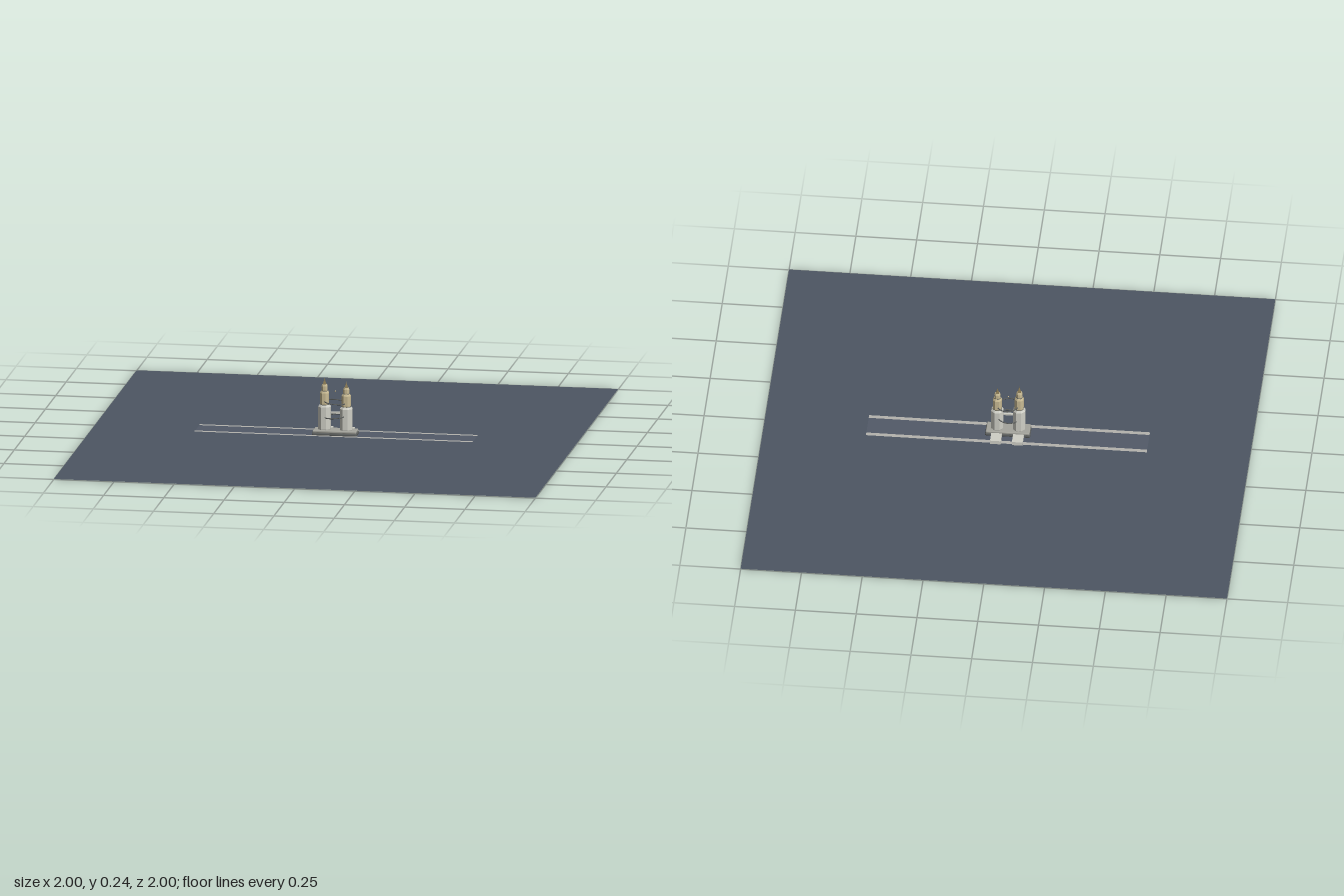
import * as THREE from 'three';
import { RoundedBoxGeometry } from 'three/addons/geometries/RoundedBoxGeometry.js';

const mat = (color, extra = {}) => new THREE.MeshStandardMaterial({ color, ...extra });
const groundMat = mat(0x4d5663, { side: THREE.DoubleSide });
const roadMat = mat(0x525a68, { side: THREE.DoubleSide });
const stripMat = mat(0xb4b3ae, { side: THREE.DoubleSide });
const stone = mat(0xcfcfc6, { flatShading: true });
const sand = mat(0xc9bb94, { flatShading: true });
const bronze = mat(0x8a7a55, { flatShading: true });
const dark = mat(0x5c5f5e);
const slab = mat(0xa5a59d);

function add(parent, name, geometry, material, x = 0, y = 0, z = 0) {
  const mesh = new THREE.Mesh(geometry, material);
  mesh.name = name;
  mesh.position.set(x, y, z);
  parent.add(mesh);
  return mesh;
}

function flat(parent, name, w, d, material, y, z = 0) {
  return add(parent, name, new THREE.PlaneGeometry(w, d).rotateX(-Math.PI / 2), material, 0, y, z);
}

// Eight-sided tier with chamfered shoulders; r is half its width across flats
function tier(r, h) {
  const R = r / Math.cos(Math.PI / 8), c = 0.008;
  const pts = [[0, 0], [R * 0.9, 0], [R, c], [R, h - c], [R * 0.8, h], [0, h]]
    .map(([a, b]) => new THREE.Vector2(a, b));
  return new THREE.LatheGeometry(pts, 8).rotateY(Math.PI / 8);
}

function tower(x, scale) {
  const g = new THREE.Group();
  g.name = 'tower';
  g.position.set(x, 0.02, 0.014);
  g.scale.y = scale;
  add(g, 'lowerTier', tier(0.025, 0.108), stone);
  add(g, 'middleTier', tier(0.018, 0.06), sand, 0, 0.105);
  add(g, 'upperTier', tier(0.012, 0.03), sand, 0, 0.163);
  const crown = new THREE.CylinderGeometry(0.004, 0.01, 0.014, 4).rotateY(Math.PI / 4);
  add(g, 'crown', crown, bronze, 0, 0.199);
  add(g, 'spire', new THREE.ConeGeometry(0.004, 0.018, 6), bronze, 0, 0.212);
  // dark collars between tiers
  for (const [y, r] of [[0.108, 0.02], [0.165, 0.0135]]) {
    add(g, 'collar', new THREE.CylinderGeometry(r, r, 0.003, 8).rotateY(Math.PI / 8), dark, 0, y);
  }
  return g;
}

export function createModel() {
  const model = new THREE.Group();
  model.name = 'twinTowerSite';

  // Ground with a marked road
  flat(model, 'ground', 2, 2, groundMat, 0.002);
  flat(model, 'road', 1.155, 0.1, roadMat, 0.0035);
  for (const z of [-0.06, 0.056]) flat(model, 'roadEdge', 1.155, 0.018, stripMat, 0.005, z);

  // Podium
  add(model, 'podiumBase', new RoundedBoxGeometry(0.186, 0.013, 0.07, 2, 0.005), dark, 0, 0.0085, 0.014);
  add(model, 'podiumTop', new RoundedBoxGeometry(0.18, 0.011, 0.066, 2, 0.004), slab, 0, 0.0195, 0.014);

  // Rear wings and towers
  for (const s of [-1, 1]) {
    add(model, 'rearWing', new THREE.BoxGeometry(0.044, 0.018, 0.055), stone, s * 0.045, 0.009, -0.0445);
    model.add(tower(s * 0.045, s < 0 ? 1 : 0.94));
  }

  // Tilted rings between the towers
  for (const [y, tilt] of [[0.08, 0.08], [0.14, -0.08]]) {
    const ring = add(model, 'ring', new THREE.TorusGeometry(0.045, 0.0022, 6, 40).rotateX(Math.PI / 2), dark, 0, y, 0.016);
    ring.rotation.z = tilt;
  }

  // Sky bridge and small beacon
  add(model, 'skyBridge', new THREE.BoxGeometry(0.05, 0.007, 0.01), stone, 0, 0.095, 0.014);
  add(model, 'beacon', new THREE.SphereGeometry(0.003, 8, 6), sand, 0, 0.185, 0.014);
  return model;
}
